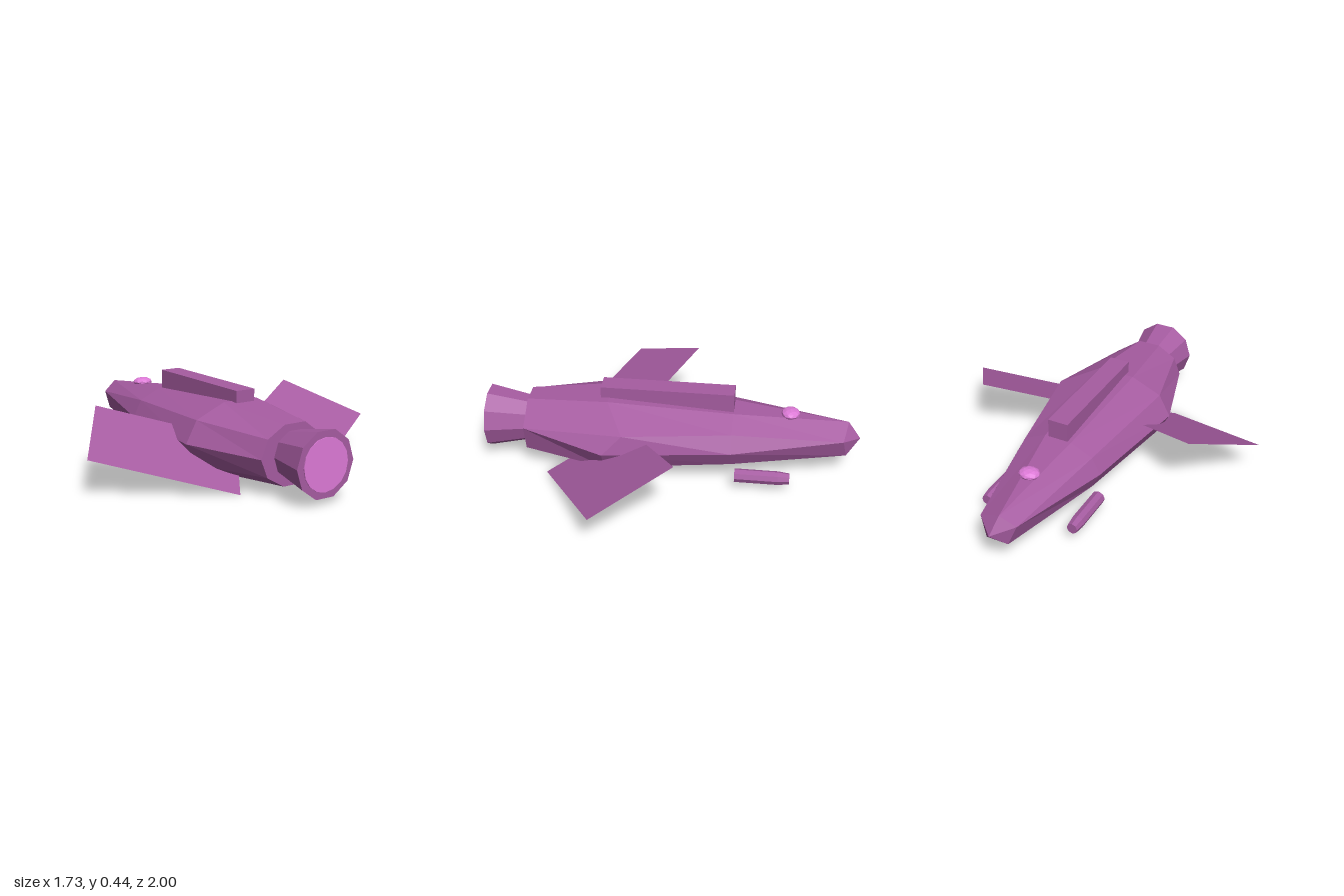
import * as THREE from 'three';

export function createModel() {
  const group = new THREE.Group();
  const purple = new THREE.MeshStandardMaterial({ color: 0xa65ca1, flatShading: true, side: THREE.DoubleSide });
  purple.name = 'purple hull';
  const pink = new THREE.MeshStandardMaterial({ color: 0xdd7ad7, flatShading: true });
  pink.name = 'glowing pink';

  const add = (name, geometry, material, x = 0, y = 0, z = 0) => {
    const mesh = new THREE.Mesh(geometry, material);
    mesh.name = name;
    mesh.position.set(x, y, z);
    group.add(mesh);
    return mesh;
  };
  const fromTriangles = (points) => {
    const g = new THREE.BufferGeometry().setFromPoints(points);
    g.computeVertexNormals();
    return g;
  };
  const v = (x, y, z) => new THREE.Vector3(x, y, z);
  // Cylinder lying along z, with corners at its left and right
  const barrel = (back, front, length, sides) =>
    new THREE.CylinderGeometry(back, front, length, sides, 1, false, Math.PI / 2).rotateX(Math.PI / 2);

  // Hull: ten-sided elliptical sections from nose to tail
  const sides = 10;
  const ring = (rx, ry, z) => Array.from({ length: sides }, (_, k) => {
    const a = (k / sides) * Math.PI * 2;
    return v(rx * Math.cos(a), 0.2 + ry * Math.sin(a), z);
  });
  const tip = v(0, 0.2, -1);
  const noseRight = v(0.1, 0.23, -0.91), noseLeft = v(-0.1, 0.23, -0.91);
  const noseTop = v(-0.02, 0.285, -0.935);
  const keelLeft = v(-0.06, 0.125, -0.93), keelRight = v(0.06, 0.125, -0.93);
  const rings = [
    Array(sides).fill(tip),
    [noseRight, noseRight, noseTop, noseTop, noseLeft, noseLeft, keelLeft, keelLeft, keelRight, keelRight],
    ring(0.24, 0.152, -0.33),
    ring(0.33, 0.195, 0.33),
    ring(0.2, 0.16, 0.77),
  ];
  // Slightly uneven shoulder on the left side
  rings[3][1].set(0.295, 0.3, 0.23);
  rings[4][0].set(0.2, 0.25, 0.77);
  rings[4][1].copy(rings[4][0]);

  const hull = [];
  const triangle = (a, b, c) => {
    if (!a.equals(b) && !b.equals(c) && !c.equals(a)) hull.push(a, b, c);
  };
  for (let k = 0; k < sides; k++) {
    const n = (k + 1) % sides;
    for (let i = 0; i < rings.length - 1; i++) {
      const a = rings[i], b = rings[i + 1];
      triangle(a[k], a[n], b[n]);
      triangle(a[k], b[n], b[k]);
    }
    triangle(v(0, 0.2, 0.77), rings[4][k], rings[4][n]);
  }
  add('hull', fromTriangles(hull), purple);

  // Spine block along the top
  add('spine', new THREE.BoxGeometry(0.11, 0.12, 0.705), purple, 0, 0.385, 0.022);

  // Engine nozzle and its glowing disc
  add('engineNozzle', barrel(0.17, 0.122, 0.23, 10), purple, 0, 0.2, 0.88);
  add('engineGlow', barrel(0.132, 0.132, 0.008, 16), pink, 0, 0.2, 0.996);

  // Small faceted beacon on the nose
  const beacon = new THREE.IcosahedronGeometry(0.055, 1).scale(1, 0.45, 0.9);
  add('beacon', beacon, pink, -0.005, 0.326, -0.627);

  // Mirrored wings and under-nose pods
  for (const s of [1, -1]) {
    const side = s > 0 ? 'left' : 'right';
    const root = v(-0.02 * s, 0.165, 0.27), front = v(0.61 * s, 0.357, -0.08);
    const outer = v(0.863 * s, 0.196, 0.3), rear = v(0.23 * s, 0.004, 0.65);
    const corners = s > 0
      ? [root, rear, outer, root, outer, front]
      : [root, outer, rear, root, front, outer];
    add(side + 'Wing', fromTriangles(corners), purple);
    add(side + 'Pod', barrel(0.036, 0.036, 0.225, 8), purple, 0.245 * s, 0.078, -0.4675);
    add(side + 'PodTip', barrel(0.036, 0.029, 0.06, 8), purple, 0.245 * s, 0.078, -0.61);
  }
  return group;
}
